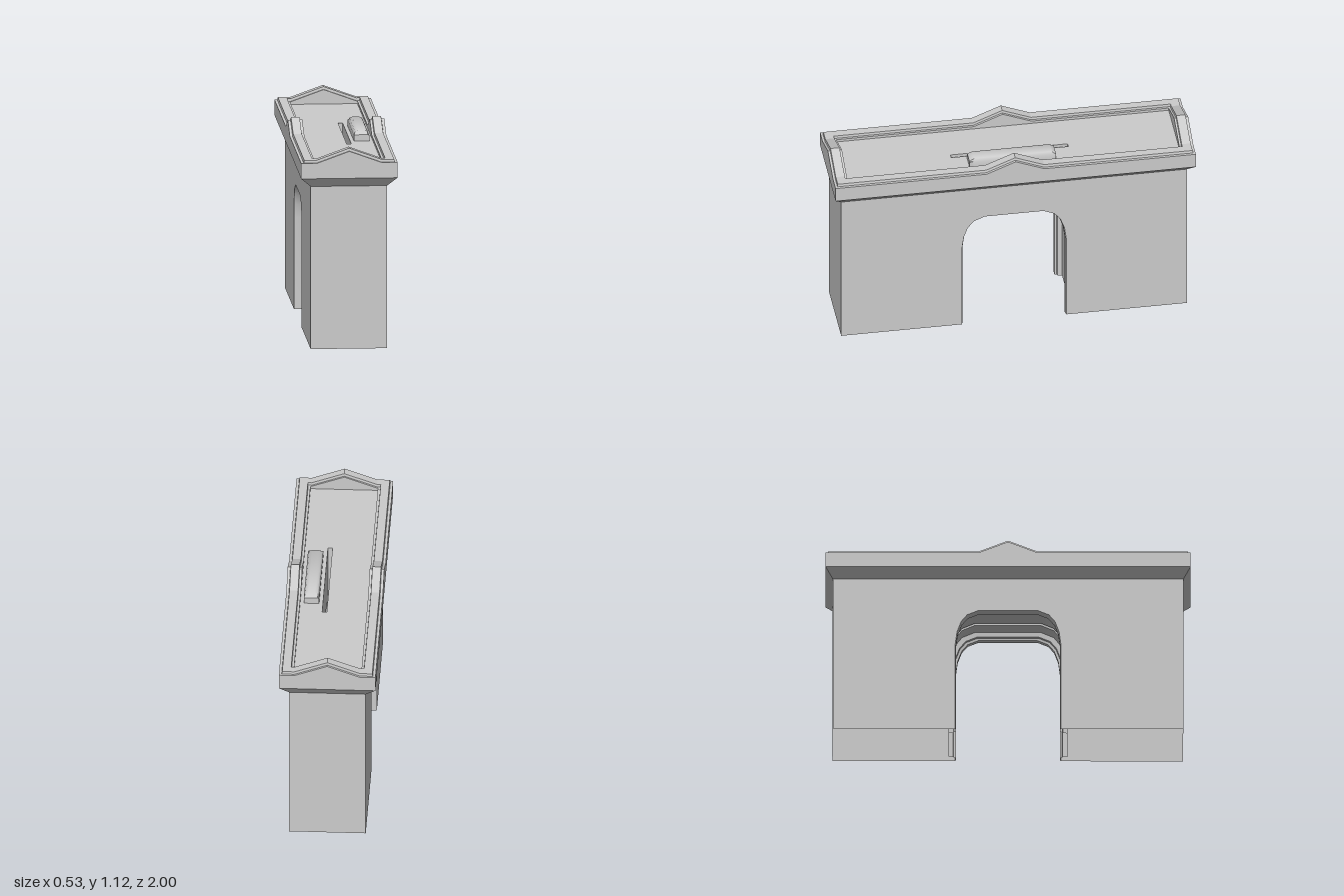
import * as THREE from 'three';
import { toCreasedNormals } from 'three/addons/utils/BufferGeometryUtils.js';

const DECK = 1.025, SLOT = [0.035, 0.06], JAMB = 0.325, LIFT = 0.065;

const material = new THREE.MeshStandardMaterial({ color: 0xcccccc, side: THREE.DoubleSide });

function add(group, name, geometry) {
  const mesh = new THREE.Mesh(geometry, material);
  mesh.name = name;
  group.add(mesh);
  return mesh;
}

// Skin a row of cross-sections with quads; crease is the smoothing angle.
function loft(sections, crease = 0.1) {
  const pos = [];
  for (let i = 0; i + 1 < sections.length; i++) {
    const s = sections[i], t = sections[i + 1];
    for (let j = 0; j + 1 < s.length; j++) {
      pos.push(...s[j], ...s[j + 1], ...t[j + 1], ...s[j], ...t[j + 1], ...t[j]);
    }
  }
  const geo = new THREE.BufferGeometry();
  geo.setAttribute('position', new THREE.Float32BufferAttribute(pos, 3));
  return toCreasedNormals(geo, crease);
}

// Rectangular ring with a small gable in the middle of each side.
function ring(x, z, y, lift = 0) {
  const half = [
    [-x, y, z], [-0.18, y, z], [0, y + lift, z], [0.18, y, z],
    [x, y, z], [x, y, 0.16], [x, y + lift, 0], [x, y, -0.16],
  ];
  const other = half.slice(0, 4).map(([a, b, c]) => [-a, b, -c]);
  const side = half.slice(4).map(([a, b, c]) => [-a, b, -c]);
  return [...half, ...other, ...side, half[0]];
}

// Gate arch as [z, y] points, from +z foot to -z foot, widened by off.
function arch(off) {
  const half = [[0.285, 0], [0.285, 0.51], [0.275, 0.585], [0.253, 0.645], [0.22, 0.685], [0.16, 0.71]]
    .map(([z, y]) => [z * (1 + off / 0.285), y > 0.51 ? y + off * (y - 0.51) / 0.2 : y]);
  return [...half, ...half.map(([z, y]) => [-z, y]).reverse()];
}

// Flat wall in the z-y plane, facing the given side.
function wall(points, x, facing) {
  const shape = new THREE.Shape(points.map(([z, y]) => new THREE.Vector2(z, y)));
  return new THREE.ShapeGeometry(shape).rotateY(facing * Math.PI / 2).translate(x, 0, 0);
}

export function createModel() {
  const model = new THREE.Group();
  model.name = 'gatehouse';

  // Hollow body: long walls with the arch cut out, and plain end walls
  const outline = [[0.96, 0], [0.96, 0.905], [-0.96, 0.905], [-0.96, 0], ...arch(0.005).reverse()];
  for (const s of [1, -1]) {
    add(model, s > 0 ? 'leftWall' : 'rightWall', wall(outline, s * 0.21, s));
    const end = new THREE.PlaneGeometry(0.42, 0.905);
    if (s < 0) end.rotateY(Math.PI);
    add(model, s > 0 ? 'frontWall' : 'backWall', end.translate(0, 0.4525, s * 0.96));
  }

  // Flared cornice and gabled parapet with a stepped coping
  add(model, 'parapet', loft([
    ring(0.21, 0.96, 0.905),
    ring(0.265, 1, 0.955),
    ring(0.265, 1, 1.04, LIFT),
    ring(0.25, 0.987, 1.04, LIFT),
    ring(0.247, 0.985, 1.055, LIFT),
    ring(0.2, 0.935, 1.055, LIFT),
    ring(0.198, 0.933, 1.04, LIFT),
    ring(0.185, 0.922, 1.04, LIFT),
    ring(0.185, 0.922, DECK),
  ]));

  // Roof deck with the gate slot
  const rect = (x0, x1, z) => [[x0, -z], [x1, -z], [x1, z], [x0, z]].map(p => new THREE.Vector2(...p));
  const deck = new THREE.Shape(rect(-0.185, 0.185, 0.922));
  deck.holes.push(new THREE.Path(rect(...SLOT, JAMB).reverse()));
  add(model, 'roofDeck', new THREE.ShapeGeometry(deck).rotateX(-Math.PI / 2).translate(0, DECK, 0));

  // Passage: raised arch frames at both mouths, recessed vault between them
  const frame = [[0.21, 0.005], [0.195, 0], [0.168, 0], [0.165, 0.012], [0.155, 0.015], [0.152, 0.04]];
  const section = ([x, off]) => arch(off).map(([z, y]) => [x, y, z]);
  add(model, 'backVault', loft([...frame.map(([x, o]) => [-x, o]), [SLOT[0], 0.04]].map(section), 0.5));
  add(model, 'frontVault', loft([[SLOT[1], 0.04], ...frame.slice().reverse()].map(section), 0.5));

  // Gate slot rising from the passage to the deck
  const slotSide = [...arch(0.04).slice(1, -1), [-JAMB, DECK], [JAMB, DECK]];
  add(model, 'slotSideA', wall(slotSide, SLOT[0], 1));
  add(model, 'slotSideB', wall(slotSide, SLOT[1], -1));
  for (const s of [1, -1]) {
    const strip = new THREE.PlaneGeometry(SLOT[1] - SLOT[0], DECK);
    if (s > 0) strip.rotateY(Math.PI);
    add(model, 'slotEnd', strip.translate((SLOT[0] + SLOT[1]) / 2, DECK / 2, s * JAMB));
  }

  // Rounded winch housing beside the slot, with sloping ends
  const hump = (z, k) => [[0.042, 0], [0.042, 0.033], [0.034, 0.033 + 0.016 * k], [0.018, 0.033 + 0.022 * k],
    [-0.018, 0.033 + 0.022 * k], [-0.034, 0.033 + 0.016 * k], [-0.042, 0.033], [-0.042, 0]]
    .map(([x, y]) => [0.123 + x, DECK + y, z]);
  const cap = z => hump(z, 0).map(() => [0.123, DECK, z]);
  add(model, 'winchHousing', loft(
    [cap(0.24), hump(0.24, 0.1), hump(0.215, 1), hump(-0.215, 1), hump(-0.24, 0.1), cap(-0.24)]
      .map(s => s.reverse()), 0.75));

  return model;
}
